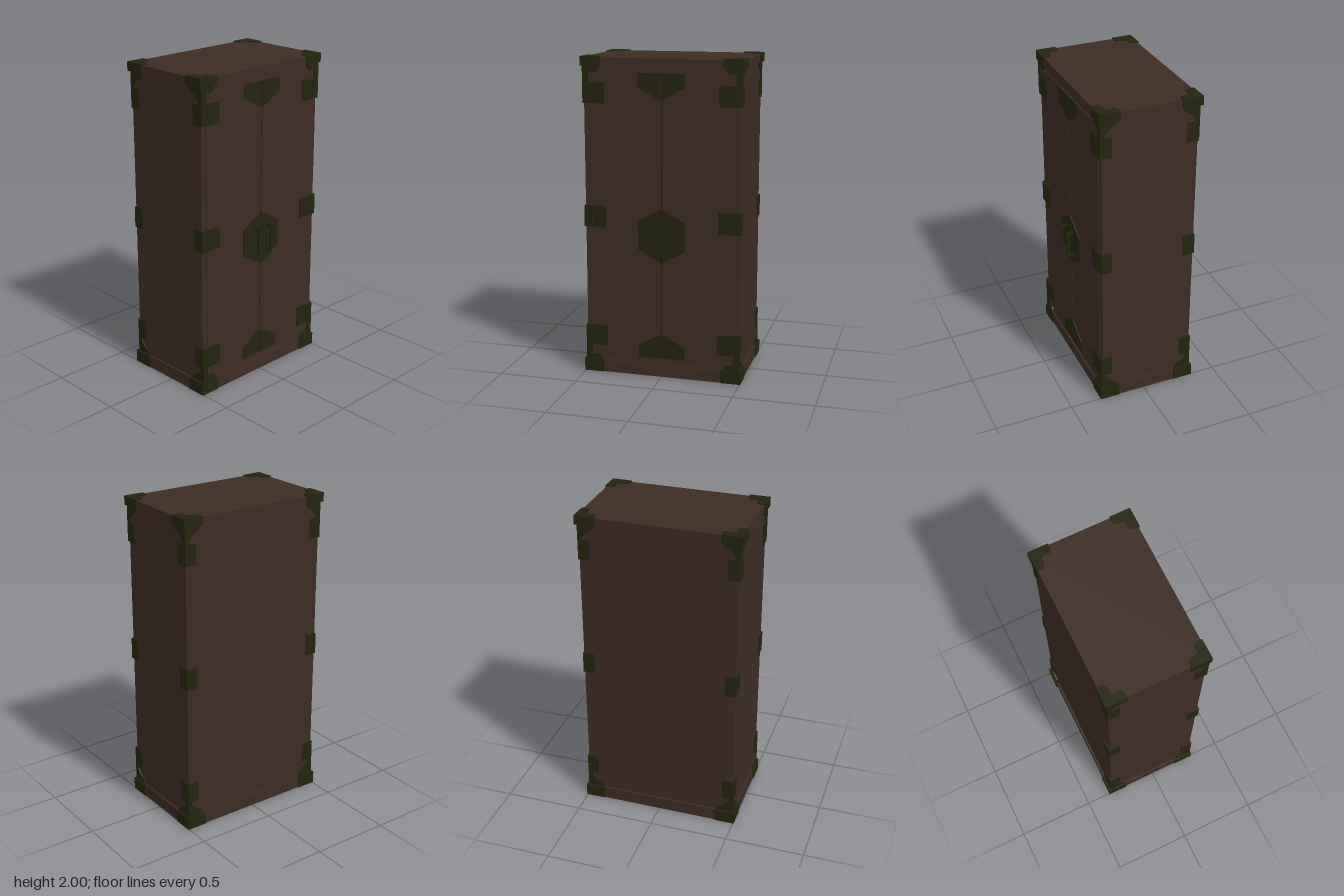
import * as THREE from 'three';

export function createModel() {
  const model = new THREE.Group();
  const wood = new THREE.MeshStandardMaterial({ color: 0x3d2c24 });
  wood.name = 'dark wood';
  const metal = new THREE.MeshStandardMaterial({ color: 0x24240f });
  metal.name = 'dark bronze';
  const dark = new THREE.MeshStandardMaterial({ color: 0x1c1614 });
  dark.name = 'door gap';

  const add = (name, geo, mat, parent = model) => {
    const m = new THREE.Mesh(geo, mat);
    m.name = name;
    parent.add(m);
    return m;
  };
  // Box given by its minimum and maximum on each axis
  const box = (name, x0, x1, y0, y1, z0, z1, mat, parent) =>
    add(name, new THREE.BoxGeometry(x1 - x0, y1 - y0, z1 - z0), mat, parent)
      .position.set((x0 + x1) / 2, (y0 + y1) / 2, (z0 + z1) / 2);
  const extrude = (pts, depth) => new THREE.ExtrudeGeometry(
    new THREE.Shape(pts.map(([x, y]) => new THREE.Vector2(x, y))), { depth, bevelEnabled: false });

  const X = 0.488, FRONT = 0.28, BACK = -0.32, T = 0.007;

  // Carcass, base and cap
  box('carcass', -X, X, 0.07, 1.95, BACK, FRONT, wood);
  box('base', -0.5, 0.5, 0, 0.08, -0.333, 0.291, wood);
  box('cap', -0.5, 0.5, 1.945, 1.994, -0.333, 0.291, wood);

  // Pair of doors with a dark gap between them
  box('doorGap', -0.004, 0.004, 0.12, 1.908, FRONT, 0.2815, dark);
  for (const s of [-1, 1]) {
    const a = s * 0.003, b = s * 0.455;
    box(s > 0 ? 'leftDoor' : 'rightDoor', Math.min(a, b), Math.max(a, b), 0.12, 1.908, FRONT, 0.286, wood);
  }

  // Centre plates, each split along the door gap
  const platePoints = {
    upperPlate: [[0.003, 1.907], [0.148, 1.907], [0.148, 1.825], [0.003, 1.743]],
    handlePlate: [[0.003, 1.083], [0.15, 1.0], [0.15, 0.823], [0.003, 0.74]],
    lowerPlate: [[0.003, 0.121], [0.148, 0.121], [0.148, 0.2], [0.003, 0.28]],
  };
  for (const [name, pts] of Object.entries(platePoints)) {
    for (const s of [-1, 1]) {
      add(name, extrude(pts.map(([x, y]) => [s * x, y]), 0.005), metal).position.z = 0.286;
    }
  }

  // Handles
  for (const s of [-1, 1]) {
    const handle = new THREE.Group();
    handle.name = 'handle';
    model.add(handle);
    const x0 = s * 0.053 - 0.008, x1 = s * 0.053 + 0.008;
    box('grip', x0, x1, 0.822, 0.998, 0.322, 0.336, metal, handle);
    box('upperPost', x0, x1, 0.984, 0.998, 0.288, 0.322, metal, handle);
    box('lowerPost', x0, x1, 0.822, 0.836, 0.288, 0.322, metal, handle);
  }

  // Bracket outlines: distance in from the edge, distance below the cap
  const frontBracket = [[0, 0], [0.105, 0], [0.098, 0.02], [0.085, 0.036], [0.038, 0.04], [0.038, 0.105], [0, 0.105]];
  const sideBracket = [[0, 0], [0.106, 0], [0.098, 0.025], [0.062, 0.045], [0.045, 0.06], [0.026, 0.085], [0.026, 0.105], [0, 0.105]];
  const hinges = [[1.718, 1.845], [0.948, 1.082], [0.178, 0.31]];

  for (const sx of [-1, 1]) {
    for (const sz of [-1, 1]) {
      const corner = new THREE.Group();
      corner.name = (sz > 0 ? 'front' : 'back') + (sx > 0 ? 'Left' : 'Right') + 'Fittings';
      model.add(corner);
      const edgeZ = sz > 0 ? FRONT : BACK;
      const depth = sz > 0 ? 0.013 : T;

      // Plate on the front or back face
      const facePlate = (name, pts) => {
        const g = extrude(pts.map(([u, y]) => [sx * (X + T - u), y]), depth);
        add(name, g, metal, corner).position.z = sz > 0 ? edgeZ : edgeZ - depth;
      };
      // Plate on the side face
      const sidePlate = (name, pts) => {
        const g = extrude(pts.map(([u, y]) => [-(edgeZ + sz * (depth - u)), y]), T).rotateY(Math.PI / 2);
        add(name, g, metal, corner).position.x = sx > 0 ? X : -X - T;
      };

      for (const top of [true, false]) {
        const place = ([u, d]) => [u, top ? 1.945 - d : 0.08 + d];
        facePlate('faceBracket', (sz > 0 ? frontBracket : sideBracket).map(place));
        sidePlate('sideBracket', sideBracket.map(place));

        // L-shaped guard around the cap or base corner
        const outX = 0.507, outZ = sz > 0 ? 0.299 : -0.34;
        const ell = [[0, 0], [0.127, 0], [0.127, 0.04], [0.11, 0.058], [0.068, 0.058],
          [0.057, 0.069], [0.057, 0.112], [0.04, 0.128], [0, 0.128]]
          .map(([u, v]) => [sx * (outX - u), -(outZ - sz * v)]);
        const h = top ? 0.056 : 0.08;
        add('cornerGuard', extrude(ell, h).rotateX(-Math.PI / 2), metal, corner)
          .position.y = top ? 1.944 : 0.001;
      }

      // Wrapped straps; the front ones carry hinge barrels
      for (const [y0, y1] of hinges) {
        const rect = w => [[0, y0], [w, y0], [w, y1], [0, y1]];
        facePlate('strap', rect(sz > 0 ? 0.14 : 0.075));
        sidePlate('sideStrap', rect(0.075));
        if (sz > 0) {
          add('hingeBarrel', new THREE.CylinderGeometry(0.008, 0.008, y1 - y0 - 0.02, 8), metal, corner)
            .position.set(sx * 0.447, (y0 + y1) / 2, 0.291);
        }
      }
    }
  }
  return model;
}
